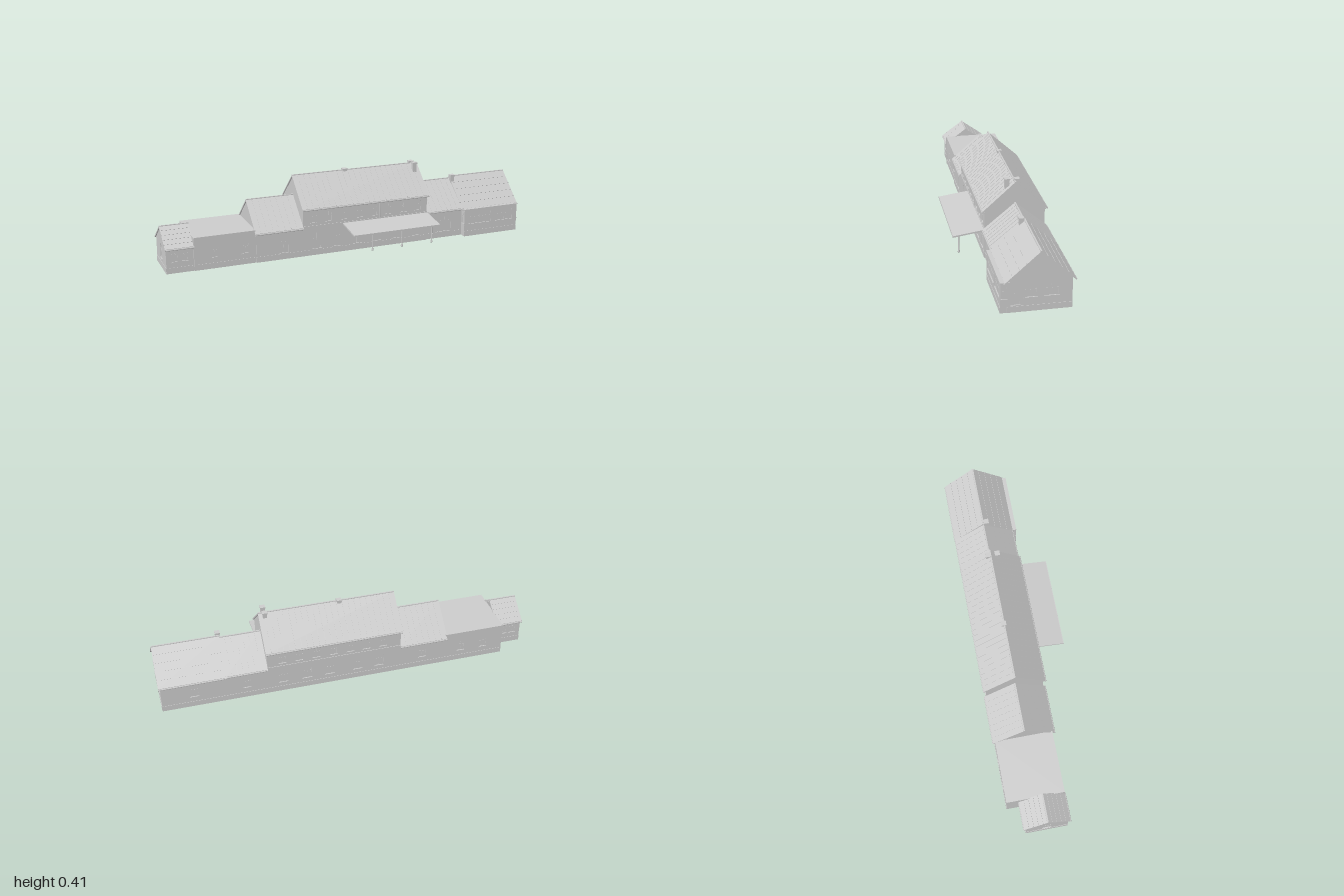
import * as THREE from 'three';

const grey = new THREE.MeshStandardMaterial({ color: 0xcccccc });
grey.name = 'paleGrey';
const T = 0.006; // wall thickness
const ZC = -0.0725; // ridge line of the long range

function add(parent, name, geo, x = 0, y = 0, z = 0) {
  const m = new THREE.Mesh(geo, grey);
  m.name = name;
  m.position.set(x, y, z);
  parent.add(m);
  return m;
}
const box = (p, name, w, h, d, x, y, z) => add(p, name, new THREE.BoxGeometry(w, h, d), x, y, z);
const extrude = (shape, depth) => new THREE.ExtrudeGeometry(shape, { depth, bevelEnabled: false, curveSegments: 4 });
const poly = (pts) => new THREE.Shape(pts.map(([x, y]) => new THREE.Vector2(x, y)));

// Opening outline: o = [centre, bottom, width, height, arch rise]
function opening([c, b, w, h, arch = 0]) {
  const s = new THREE.Shape();
  s.moveTo(c - w / 2, b);
  s.lineTo(c + w / 2, b);
  s.lineTo(c + w / 2, b + h - arch);
  if (arch) s.quadraticCurveTo(c + w / 2, b + h, c, b + h);
  else s.lineTo(c - w / 2, b + h);
  if (arch) s.quadraticCurveTo(c - w / 2, b + h, c - w / 2, b + h - arch);
  s.closePath();
  return s;
}

// Flat wall in its own plane, with recessed panes, glazing bars and sills; local +z is outside
function wall(name, pts, openings, out = 1, plinth = true) {
  const g = new THREE.Group();
  g.name = name;
  const s = poly(pts);
  openings.forEach((o) => s.holes.push(opening(o)));
  add(g, 'wallFace', extrude(s, T), 0, 0, -T / 2);
  for (const o of openings) {
    const [c, b, w, h] = o;
    add(g, 'windowPane', extrude(opening(o), 0.001), 0, 0, -0.0005);
    box(g, 'mullion', 0.003, h, 0.003, c, b + h / 2, 0);
    box(g, 'transom', w, 0.003, 0.003, c, b + h * 0.62, 0);
    box(g, 'sill', w + 0.01, 0.005, 0.006, c, b - 0.0025, out * (T / 2));
  }
  const xs = pts.map((p) => p[0]), a = Math.min(...xs), e = Math.max(...xs);
  if (plinth) box(g, 'plinth', e - a, 0.03, 0.002, (a + e) / 2, 0.015, out * (T / 2 + 0.001));
  return g;
}

function longWall(root, name, x0, x1, h, z, out, openings, y0 = 0) {
  const g = wall(name, [[x0, y0], [x1, y0], [x1, h], [x0, h]], openings, out, y0 === 0);
  g.position.z = z - out * T / 2;
  root.add(g);
}

// Wall across the building; pts and openings are given in (-z, y)
function crossWall(root, name, x, pts, openings = [], out = 1, plinth = false) {
  const g = wall(name, pts, openings, out, plinth);
  g.rotation.y = Math.PI / 2;
  g.position.x = x - out * T / 2;
  root.add(g);
}

// Pitched roof with either seams down the slope or courses along it
function roof(root, name, x0, x1, zc, half, eave, ridge, style) {
  const g = new THREE.Group();
  g.name = name;
  const t = 0.009, len = x1 - x0;
  const s = poly([[-half, eave - t], [0, ridge - t], [half, eave - t], [half, eave], [0, ridge], [-half, eave]]);
  const slab = add(g, 'roofSlab', extrude(s, len), x0, 0, zc);
  slab.rotation.y = Math.PI / 2;
  const ang = Math.atan2(ridge - eave, half), L = Math.hypot(half, ridge - eave);
  for (const side of [1, -1]) {
    const p = new THREE.Group();
    p.name = 'roofSlope';
    p.position.set((x0 + x1) / 2, (ridge + eave) / 2, zc + side * half / 2);
    p.rotation.x = side * ang;
    if (style === 'seams') {
      const n = Math.round(len / 0.032);
      for (let i = 1; i < n; i++) box(p, 'seam', 0.003, 0.002, L - 0.01, -len / 2 + i * len / n, 0.0005, 0);
    } else {
      for (let i = 1; i < 5; i++) box(p, 'course', len, 0.002, 0.003, 0, 0.0005, -L / 2 + i * L / 5);
    }
    g.add(p);
    // gutter
    const gut = add(g, 'gutter', new THREE.CylinderGeometry(0.004, 0.004, len, 8), (x0 + x1) / 2, eave - 0.006, zc + side * (half + 0.001));
    gut.rotation.z = Math.PI / 2;
  }
  box(g, 'ridgeCap', len, 0.004, 0.008, (x0 + x1) / 2, ridge, zc);
  root.add(g);
  // height of the roof underside at distance d from the ridge
  return (d) => ridge - t - d * (ridge - eave) / half;
}

// Gable outline in (-z, y)
const gable = (zc, w, under, y0) => [[-zc - w, y0], [-zc + w, y0], [-zc + w, under(w)], [-zc, under(0)], [-zc - w, under(w)]];

function chimney(root, x, z, base, top) {
  const g = new THREE.Group();
  g.name = 'chimney';
  box(g, 'chimneyStack', 0.022, top - base, 0.022, x, (top + base) / 2, z);
  box(g, 'chimneyCap', 0.027, 0.008, 0.027, x, top - 0.004, z);
  root.add(g);
}

export function createModel() {
  const root = new THREE.Group();
  root.name = 'stationBuilding';
  const W = 0.1525, F = ZC + W, B = ZC - W;
  const win = (x, y = 0.06, w = 0.035, h = 0.06) => [x, y, w, h, 0.012];

  // Small end pavilion
  const ua = roof(root, 'pavilionRoof', -1, -0.85, -0.04, 0.12, 0.133, 0.22, 'courses');
  longWall(root, 'pavilionFront', -0.995, -0.855, ua(0.11), 0.07, 1, [win(-0.95, 0.06, 0.03), win(-0.9, 0.06, 0.03)]);
  longWall(root, 'pavilionBack', -0.995, -0.855, ua(0.11), -0.15, -1, [win(-0.95, 0.06, 0.03), win(-0.9, 0.06, 0.03)]);
  crossWall(root, 'pavilionEnd', -0.995, gable(-0.04, 0.11, ua, 0), [win(0.04, 0.05, 0.04, 0.075)], -1, true);

  // Flat-roofed link
  longWall(root, 'linkFront', -0.855, -0.53, 0.172, F - 0.005, 1, [win(-0.745), win(-0.585)]);
  longWall(root, 'linkBack', -0.855, -0.53, 0.172, B, -1, [win(-0.745), win(-0.62)]);
  crossWall(root, 'linkEnd', -0.855, [[-F, 0], [-B, 0], [-B, 0.172], [-F, 0.172]], [], -1);
  box(root, 'linkRoof', 0.325, 0.006, 0.303, -0.6925, 0.172, ZC - 0.001);

  // Low wing
  const uc = roof(root, 'lowWingRoof', -0.535, -0.275, ZC, 0.162, 0.158, 0.298, 'seams');
  longWall(root, 'lowWingFront', -0.53, -0.275, uc(W), F, 1, [win(-0.38, 0.035, 0.045, 0.095)]);
  longWall(root, 'lowWingBack', -0.53, -0.275, uc(W), B, -1, [win(-0.40)]);
  crossWall(root, 'lowWingGable', -0.53, gable(ZC, W, uc, 0.155), [], -1);

  // Two-storey main block
  const ud = roof(root, 'mainRoof', -0.28, 0.447, ZC, 0.163, 0.257, 0.403, 'seams');
  const upper = [], lowerFront = [];
  for (let i = 0; i < 8; i++) upper.push(win(-0.215 + i * 0.086, 0.178, 0.03, 0.055));
  for (let i = 0; i < 6; i++) lowerFront.push(win(-0.2 + i * 0.115, 0.035, 0.045, 0.09));
  longWall(root, 'mainFront', -0.275, 0.44, ud(W), F, 1, [...lowerFront, ...upper]);
  longWall(root, 'mainBack', -0.275, 0.44, ud(W), B, -1, [
    ...[0.36, 0.23, 0.11, -0.04, -0.16].map((x) => win(x, 0.055, 0.045, 0.07)),
    ...[0.36, 0.27, 0.18, 0.09, 0, -0.09, -0.18].map((x) => win(x, 0.178, 0.035, 0.055)),
  ]);
  for (const [x, o] of [[-0.275, -1], [0.44, 1]]) crossWall(root, 'mainGable', x, gable(ZC, W, ud, 0.14), [], o);
  for (const [z, s] of [[F, 1], [B, -1]]) {
    box(root, 'stringCourse', 0.715, 0.005, 0.004, 0.0825, 0.16, z + s * 0.001);
    box(root, 'cornice', 0.715, 0.008, 0.006, 0.0825, 0.247, z + s * 0.002);
  }
  add(root, 'downpipe', new THREE.CylinderGeometry(0.003, 0.003, 0.095, 8), 0.16, 0.205, F + 0.003);

  // Link wing
  const ue = roof(root, 'linkWingRoof', 0.44, 0.657, ZC, 0.162, 0.158, 0.292, 'seams');
  longWall(root, 'linkWingFront', 0.44, 0.66, ue(W), F - 0.005, 1, [win(0.555, 0.035, 0.08, 0.095)]);
  longWall(root, 'linkWingBack', 0.44, 0.66, ue(W), B, -1, [win(0.55)]);

  // End wing with forward bay
  const uf = roof(root, 'endWingRoof', 0.652, 1, ZC, 0.164, 0.155, 0.302, 'courses');
  longWall(root, 'endWingBack', 0.66, 0.99, uf(W), B, -1, [win(0.825, 0.06, 0.045, 0.07)]);
  crossWall(root, 'endWingGable', 0.99, gable(ZC, W, uf, 0), [
    [-0.041, 0.037, 0.038, 0.093, 0.014], [0.03, 0.072, 0.055, 0.058, 0.014], [0.128, 0.072, 0.064, 0.058, 0.014],
  ], 1, true);
  crossWall(root, 'endWingInnerGable', 0.66, gable(ZC, W, uf, 0.15), [], -1);
  longWall(root, 'bayFront', 0.66, 0.99, 0.15, 0.11, 1, [[0.755, 0.07, 0.14, 0.06], [0.91, 0.07, 0.1, 0.06]]);
  for (const [x, o] of [[0.66, -1], [0.99, 1]]) {
    crossWall(root, 'baySide', x, [[-0.11, 0], [-0.073, 0], [-0.073, 0.152], [-0.11, 0.15]], [[-0.094, 0.072, 0.022, 0.058]], o);
  }
  box(root, 'bayRoof', 0.336, 0.005, 0.045, 0.825, 0.152, 0.09);

  // Sloping canopy on posts
  const slope = poly([[-0.238, 0.127], [-0.075, 0.15], [-0.075, 0.158], [-0.238, 0.135]]);
  add(root, 'canopyRoof', extrude(slope, 0.495), -0.052).rotation.y = Math.PI / 2;
  box(root, 'canopyFascia', 0.495, 0.009, 0.003, 0.1955, 0.131, 0.2385);
  box(root, 'canopyBeam', 0.47, 0.006, 0.006, 0.1955, 0.129, 0.205);
  const profile = [[0, 0.03], [0.006, 0.03], [0.006, 0.034], [0.0035, 0.042], [0.003, 0.115], [0.006, 0.124], [0.006, 0.13], [0, 0.13]]
    .map(([r, y]) => new THREE.Vector2(r, y));
  for (const x of [0.065, 0.235, 0.41]) add(root, 'canopyPost', new THREE.LatheGeometry(profile, 10), x, 0, 0.205);

  // Chimneys
  chimney(root, 0.02, -0.075, 0.37, 0.41);
  chimney(root, 0.415, -0.086, 0.36, 0.412);
  chimney(root, 0.415, -0.036, 0.34, 0.414);
  chimney(root, 0.66, -0.055, 0.26, 0.314);
  return root;
}
